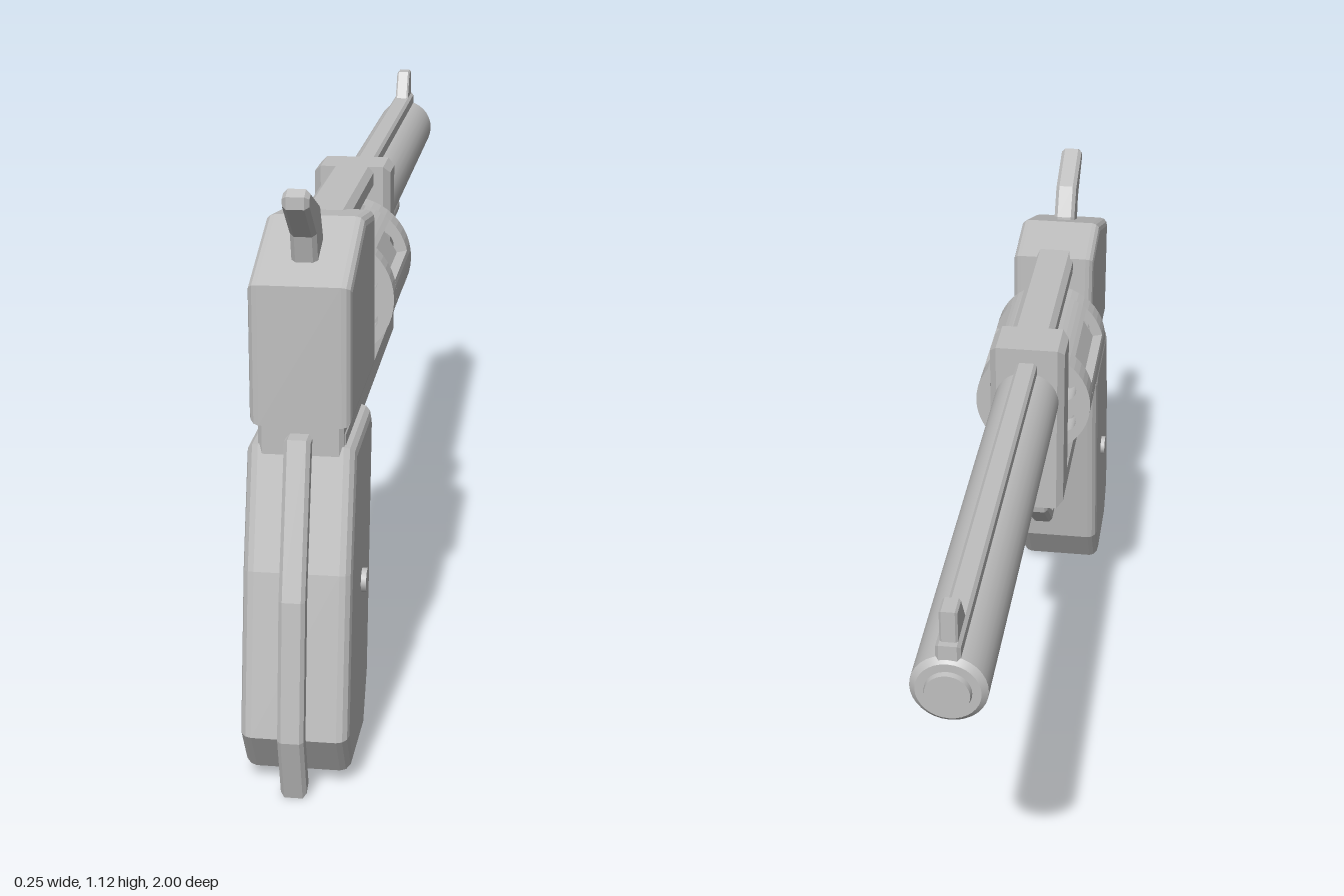
import * as THREE from 'three';

export function createModel() {
  const group = new THREE.Group();
  const steel = new THREE.MeshStandardMaterial({ color: 0xbfbfbf });
  steel.name = 'plain grey';

  const add = (name, geometry) => {
    const mesh = new THREE.Mesh(geometry, steel);
    mesh.name = name;
    group.add(mesh);
    return mesh;
  };

  // Side outline given as [z, y] points, extruded across x with bevelled edges
  const plate = (name, points, halfWidth, bevel = 0.006, segments = 1) => {
    const shape = new THREE.Shape(points.map(([z, y]) => new THREE.Vector2(z, y)));
    const depth = 2 * (halfWidth - bevel);
    const geo = new THREE.ExtrudeGeometry(shape, {
      depth, bevelEnabled: true, bevelThickness: bevel, bevelSize: bevel,
      bevelOffset: -bevel, bevelSegments: segments,
    });
    geo.translate(0, 0, -depth / 2).rotateY(-Math.PI / 2);
    return add(name, geo);
  };

  // Round bar along z from zBack to zFront
  const rod = (name, rBack, rFront, zBack, zFront, y, sides = 32) => {
    const geo = new THREE.CylinderGeometry(rBack, rFront, zBack - zFront, sides);
    geo.rotateX(Math.PI / 2).translate(0, y, (zBack + zFront) / 2);
    return add(name, geo);
  };

  // Barrel, muzzle, rib, sight and ejector rod
  rod('barrel', 0.069, 0.069, 0.03, -0.98, 0.876);
  rod('muzzleChamfer', 0.069, 0.058, -0.98, -0.99, 0.876);
  rod('muzzleRing', 0.043, 0.04, -0.985, -1, 0.876);
  plate('barrelRib', [[0.03, 0.92], [0.03, 0.968], [-0.985, 0.968], [-0.985, 0.92]], 0.022);
  plate('frontSight', [[-0.885, 0.96], [-0.93, 1.03], [-0.973, 1.03], [-0.973, 0.96]], 0.016, 0.004);
  rod('ejectorRod', 0.032, 0.032, 0.03, -0.548, 0.764, 20);
  rod('ejectorTip', 0.032, 0.026, -0.548, -0.555, 0.764, 20);

  // Frame
  plate('frame', [[0.02, 1], [0.123, 1], [0.123, 0.675], [0.84, 0.675], [0.84, 0.608], [0.02, 0.608]], 0.08, 0.014);
  plate('rearFrameNeck', [[0.845, 0.70], [0.845, 0.62], [0.6, 0.62], [0.6, 0.70]], 0.078, 0.008);
  plate('topStrap', [[0.11, 0.95], [0.11, 1], [0.52, 1], [0.52, 0.95]], 0.046, 0.012);
  plate('rearBody', [[0.85, 0.68], [0.85, 0.94], [0.64, 1.018], [0.487, 0.995], [0.48, 0.68]], 0.093, 0.018, 3);

  // Fluted drum: two drilled end discs around a notched middle
  const R = 0.127, drumY = 0.81, deg = Math.PI / 180;
  const polar = (r, a) => new THREE.Vector2(r * Math.cos(a * deg), r * Math.sin(a * deg));
  const flutes = [];
  for (let i = 0; i < 6; i++) {
    const a = 30 + 60 * i;
    flutes.push(polar(R - 0.022, a - 17), polar(R - 0.022, a + 17));
    for (let k = 0; k <= 5; k++) flutes.push(polar(R, a + 17 + (26 * k) / 5));
  }
  const disc = new THREE.Shape().absarc(0, 0, R, 0, Math.PI * 2);
  for (let i = 0; i < 6; i++) {
    const c = polar(0.078, 30 + 60 * i);
    disc.holes.push(new THREE.Path().absarc(c.x, c.y, 0.028, 0, Math.PI * 2, true));
  }
  const drumPart = (name, shape, zFront, zBack) => {
    const geo = new THREE.ExtrudeGeometry(shape, { depth: zBack - zFront, bevelEnabled: false, curveSegments: 24 });
    add(name, geo.translate(0, drumY, zFront));
  };
  drumPart('drumFront', disc, 0.13, 0.185);
  drumPart('drumFluted', new THREE.Shape(flutes), 0.185, 0.42);
  drumPart('drumBack', disc, 0.42, 0.465);
  rod('drumPin', 0.035, 0.035, 0.5, 0.1, drumY, 16);

  // Hammer
  plate('hammer', [[0.877, 1.105], [0.855, 1.115], [0.74, 1.065], [0.705, 1], [0.7, 0.96],
    [0.78, 0.96], [0.795, 1.015], [0.877, 1.083]], 0.024, 0.008);

  // Grip with back strap and screws
  plate('grip', [[0.84, 0.642], [0.6, 0.642], [0.578, 0.61], [0.655, 0.115], [0.72, 0.015],
    [0.905, 0.028], [0.96, 0.115], [0.905, 0.42]], 0.1, 0.022, 3);
  plate('backStrap', [[0.885, 0.668], [0.965, 0.39], [1, 0.13], [0.965, 0], [0.93, 0.015],
    [0.962, 0.13], [0.925, 0.4], [0.85, 0.668]], 0.024, 0.007);
  for (const side of [-1, 1]) {
    const geo = new THREE.CylinderGeometry(0.023, 0.023, 0.03, 12);
    add('gripScrew', geo.rotateZ(Math.PI / 2).translate(side * 0.095, 0.345, 0.75));
  }

  // Trigger and guard
  plate('trigger', [[0.47, 0.63], [0.415, 0.63], [0.418, 0.59], [0.435, 0.49], [0.485, 0.472],
    [0.485, 0.495], [0.463, 0.515]], 0.022, 0.006);
  plate('triggerGuard', [[0.62, 0.49], [0.6, 0.47], [0.54, 0.385], [0.305, 0.385], [0.21, 0.472],
    [0.178, 0.63], [0.21, 0.63], [0.238, 0.49], [0.317, 0.417], [0.525, 0.417], [0.59, 0.5], [0.62, 0.54]], 0.024, 0.007);

  return group;
}
